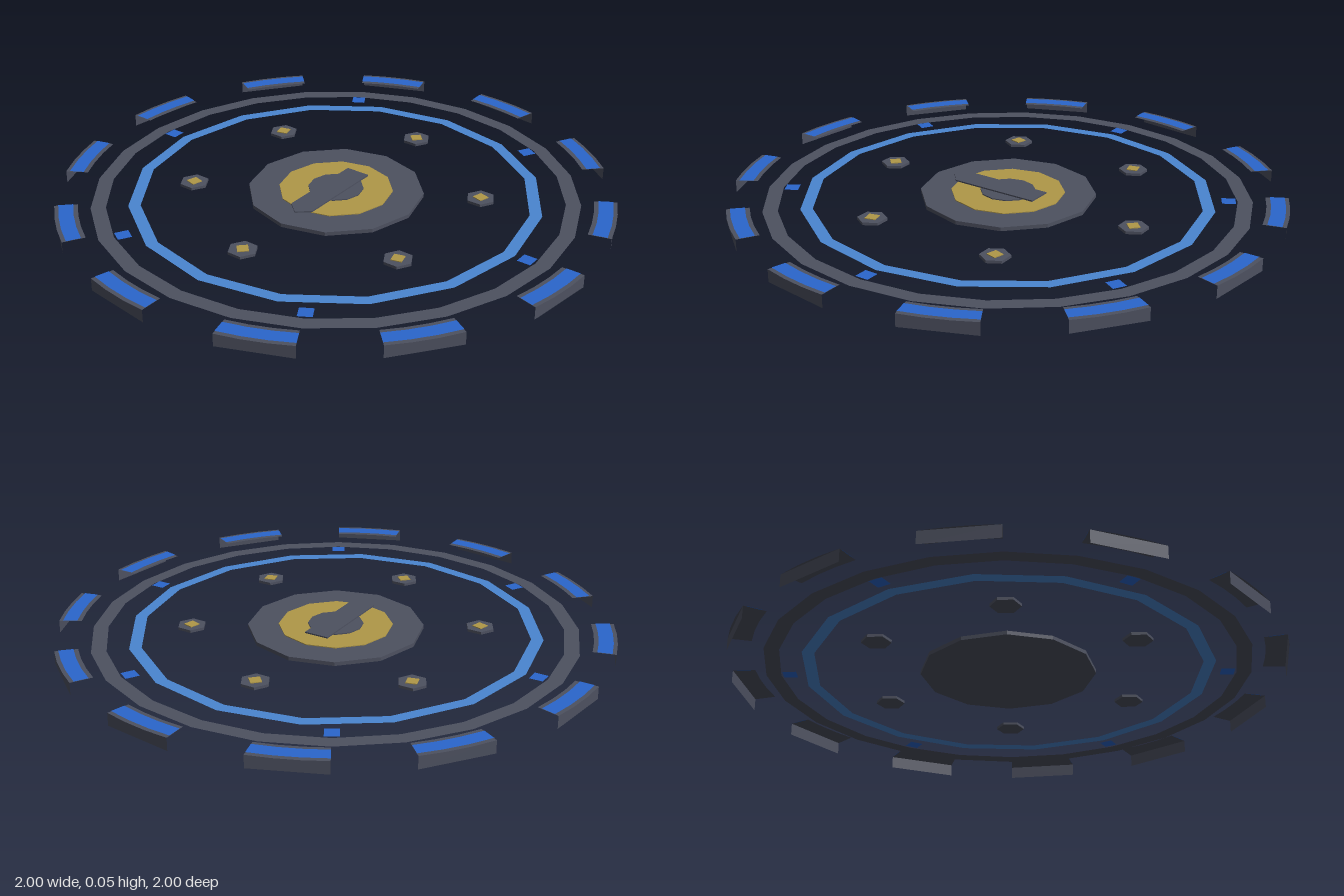
import * as THREE from 'three';

const mat = (name, color) => {
  const m = new THREE.MeshStandardMaterial({ color, side: THREE.DoubleSide, flatShading: true });
  m.name = name;
  return m;
};

export function createModel() {
  const slate = mat('slate', 0x4d5160);
  const gold = mat('gold', 0xb09848);
  const skyBlue = mat('skyBlue', 0x4a86d0);
  const deepBlue = mat('deepBlue', 0x2a66cc);

  const model = new THREE.Group();
  const add = (parent, name, geometry, material, x = 0, y = 0, z = 0) => {
    const mesh = new THREE.Mesh(geometry, material);
    mesh.name = name;
    mesh.position.set(x, y, z);
    parent.add(mesh);
    return mesh;
  };
  // Flat horizontal ring or ring sector facing up
  const flatRing = (inner, outer, sides, start = 0, length = Math.PI * 2) =>
    new THREE.RingGeometry(inner, outer, sides, 1, start, length).rotateX(-Math.PI / 2);
  // Upright prism standing on y = 0
  const prism = (bottom, top, height, sides, start = 0) =>
    new THREE.CylinderGeometry(top, bottom, height, sides, 1, false, start).translate(0, height / 2, 0);

  // Twelve rim segments: top plate, outer wall and a painted stripe
  const step = Math.PI / 12;
  const topY = 0.046;
  const plate = flatRing(0.918, 1, 1, Math.PI / 2 - step, step);
  const stripe = flatRing(0.934, 0.986, 1, Math.PI / 2 - step, step);
  const wall = new THREE.CylinderGeometry(1, 1, topY, 1, 1, true, Math.PI - step, step);
  for (let i = 0; i < 12; i++) {
    const segment = new THREE.Group();
    segment.name = 'rimSegment';
    segment.rotation.y = -i * Math.PI / 6;
    add(segment, 'rimPlate', plate, slate, 0, topY, 0);
    add(segment, 'rimWall', wall, slate, 0, topY / 2, 0);
    add(segment, 'rimStripe', stripe, deepBlue, 0, topY + 0.0015, 0);
    model.add(segment);
  }

  // Flat rings
  const baseY = 0.025;
  add(model, 'outerRing', flatRing(0.822, 0.876, 24), slate, 0, baseY, 0);
  add(model, 'innerRing', flatRing(0.7, 0.744, 16), skyBlue, 0, baseY, 0);

  // Bolts and small square markers, six of each
  const bolt = prism(0.053, 0.053, 0.01, 6, Math.PI / 6);
  const boltCap = prism(0.028, 0.028, 0.003, 4);
  const marker = new THREE.PlaneGeometry(0.05, 0.05).rotateX(-Math.PI / 2);
  for (let i = 0; i < 6; i++) {
    const boltGroup = new THREE.Group();
    boltGroup.name = 'bolt';
    boltGroup.rotation.y = i * Math.PI / 3;
    add(boltGroup, 'boltHead', bolt, slate, 0, baseY, 0.52);
    add(boltGroup, 'boltCap', boltCap, gold, 0, baseY + 0.01, 0.52);
    const markerGroup = new THREE.Group();
    markerGroup.name = 'marker';
    markerGroup.rotation.y = i * Math.PI / 3;
    add(markerGroup, 'markerSquare', marker, deepBlue, 0.79, baseY + 0.002, 0);
    model.add(boltGroup, markerGroup);
  }

  // Centre disc, gold plate and hub
  add(model, 'centreDisc', prism(0.317, 0.317, 0.014, 12), slate, 0, baseY, 0);
  add(model, 'goldPlate', prism(0.206, 0.206, 0.003, 12), gold, 0, 0.039, 0);
  add(model, 'hub', prism(0.1, 0.1, 0.004, 12), slate, 0, 0.042, 0);

  // Pointer: a bar with an arrow tip towards the front
  const outline = [[-0.046, 0.135], [-0.046, -0.2], [0, -0.24], [0.046, -0.2], [0.046, 0.135]];
  const pointer = new THREE.ExtrudeGeometry(
    new THREE.Shape(outline.map(([x, y]) => new THREE.Vector2(x, y))),
    { depth: 0.005, bevelEnabled: false }
  ).rotateX(-Math.PI / 2);
  add(model, 'pointer', pointer, slate, 0, 0.046, 0);

  return model;
}
